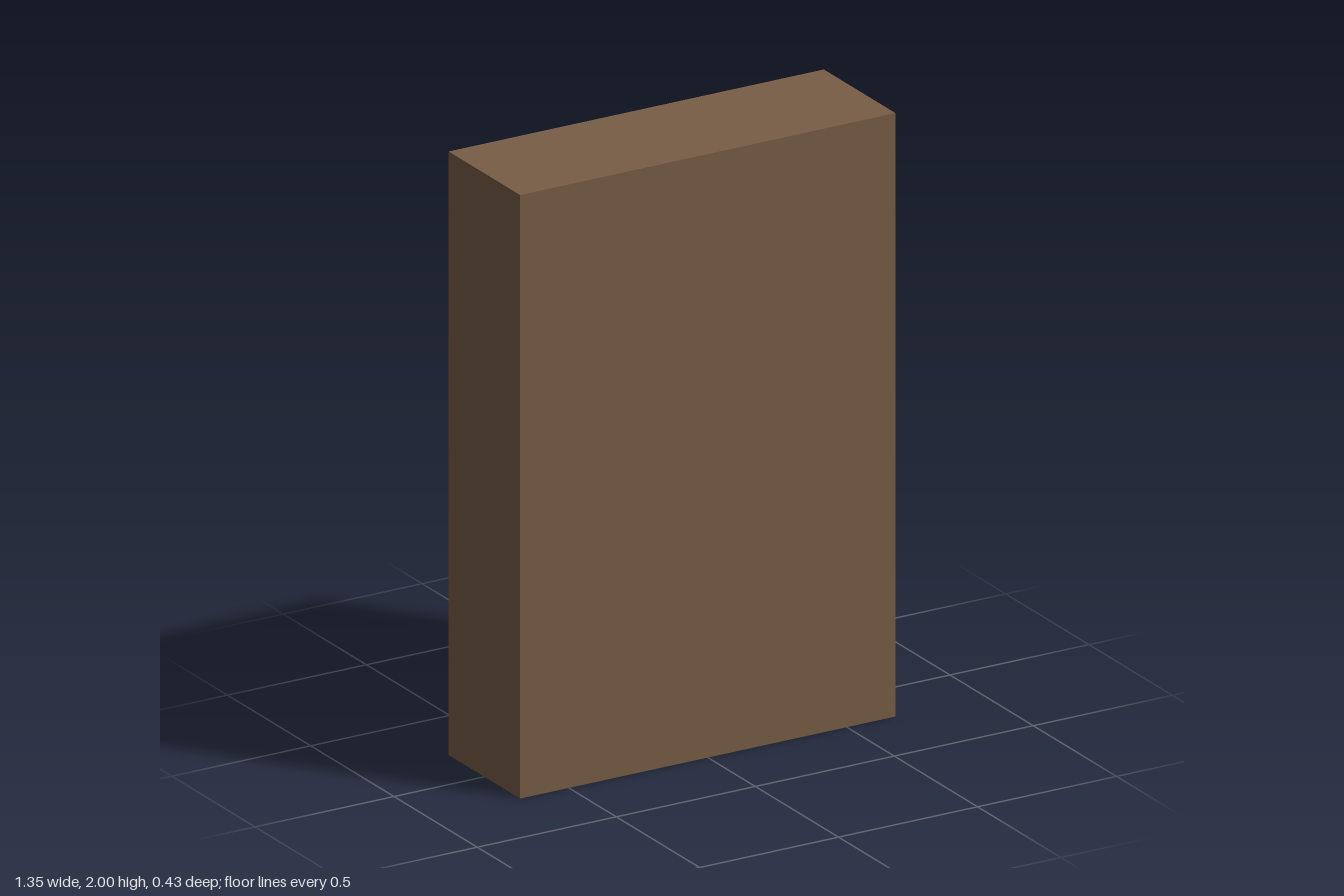
import * as THREE from 'three';

const mat = (name, color) => {
  const m = new THREE.MeshStandardMaterial({ color });
  m.name = name;
  return m;
};

export function createModel() {
  const group = new THREE.Group();
  group.name = 'bookcase';
  const wood = mat('walnut wood', 0x785d45);
  const brown = mat('brown leather', 0x7d6048);
  const teal = mat('dark teal cloth', 0x3a5154);
  const cream = mat('cream cloth', 0xa69e8e);
  const gray = mat('gray cloth', 0x74706a);
  const olive = mat('olive cloth', 0x56573e);

  // box given by its lower and upper limits on each axis
  const box = (name, material, x0, x1, y0, y1, z0, z1, parent = group) => {
    const mesh = new THREE.Mesh(new THREE.BoxGeometry(x1 - x0, y1 - y0, z1 - z0), material);
    mesh.name = name;
    mesh.position.set((x0 + x1) / 2, (y0 + y1) / 2, (z0 + z1) / 2);
    parent.add(mesh);
  };

  // carcass: closed panel on +z, open shelves towards -z
  const W = 0.675, D = 0.215, T = 0.05, inner = W - T;
  box('leftSidePanel', wood, inner, W, 0, 2, -D, D);
  box('rightSidePanel', wood, -W, -inner, 0, 2, -D, D);
  box('closedPanel', wood, -inner, inner, 0, 2, D - T, D);
  box('topBoard', wood, -inner, inner, 2 - T, 2, -D, D - T);
  box('plinth', wood, -inner, inner, 0, 0.104, -D + T, D - T);
  const floors = [0, 1, 2, 3, 4].map((i) => 1.68 - i * 0.3815);
  for (const y of floors) box('shelf', wood, -inner, inner, y - T, y, -D, D - T);

  // upright books: each colour has its own height, each shelf its own runs
  const kinds = {
    t: { material: teal, height: 0.26 },
    o: { material: olive, height: 0.25 },
    b: { material: brown, height: 0.24 },
    c: { material: cream, height: 0.23 },
    g: { material: gray, height: 0.225 },
  };
  const pitch = 0.054, bookWidth = 0.05, front = -0.12, rear = 0.1;
  const shelfScale = [0.87, 0.98, 1.06, 1, 1.03];

  // a run starts at x and goes towards -x, one letter per book
  const runs = [
    [[0.02, 'b'], [-0.065, 'c'], [-0.165, 'obt'], [-0.375, 'tcbt']],
    [[0.595, 'tg'], [0.445, 'bt'], [-0.17, 'b'], [-0.27, 'tbb'], [-0.465, 'cob']],
    [[0.595, 'cgb'], [0.41, 't'], [0.325, 't'], [0.155, 'to']],
    [[0.615, 'bctg'], [-0.115, 'g'], [-0.27, 'ot'], [-0.435, 'ctb']],
    [[0.585, 'g'], [0.48, 't'], [0.335, 'b'], [-0.12, 'bo'], [-0.27, 'tt'], [-0.43, 'bbt']],
  ];
  runs.forEach((shelfRuns, i) => {
    const row = new THREE.Group();
    row.name = 'bookRow';
    group.add(row);
    for (const [start, letters] of shelfRuns) {
      [...letters].forEach((letter, k) => {
        const { material, height } = kinds[letter];
        const x = start - k * pitch;
        box('book', material, x - bookWidth, x, floors[i], floors[i] + height * shelfScale[i], front, rear, row);
      });
    }
  });

  // lying books
  const [, yB, yC, yD, yE] = floors;
  box('lyingBook', teal, 0.025, 0.285, yB, yB + 0.05, -0.13, 0.1);
  box('lyingBook', teal, -0.29, -0.03, yC, yC + 0.03, -0.12, 0.08);
  box('lyingBook', cream, -0.29, 0, yC + 0.03, yC + 0.08, -0.13, 0.07);
  box('lyingBook', brown, -0.28, -0.04, yC + 0.08, yC + 0.15, -0.09, 0.12);

  // low book with another lying across its top
  box('lowBook', teal, 0.265, 0.32, yD, yD + 0.16, -0.13, 0.12);
  box('topBook', teal, 0.21, 0.32, yD + 0.16, yD + 0.2, -0.13, 0.12);

  // shorter books beside their neighbours
  box('shortBook', gray, -0.2, -0.165, yD, yD + 0.1, -0.08, rear);
  box('shortBook', teal, 0.43, 0.49, yE, yE + 0.19, -0.13, -0.06);
  box('thinBook', teal, -0.115, -0.085, yE, yE + 0.25, front, rear);

  // storage box on the lowest shelf
  box('storageBox', brown, -0.01, 0.26, yE, yE + 0.17, -0.14, 0.07);

  // picture frame with a gray face
  box('pictureFrame', brown, -0.58, -0.34, yC, yC + 0.22, -0.14, -0.07);
  box('pictureFace', gray, -0.575, -0.345, yC + 0.005, yC + 0.215, -0.146, -0.14);
  return group;
}
